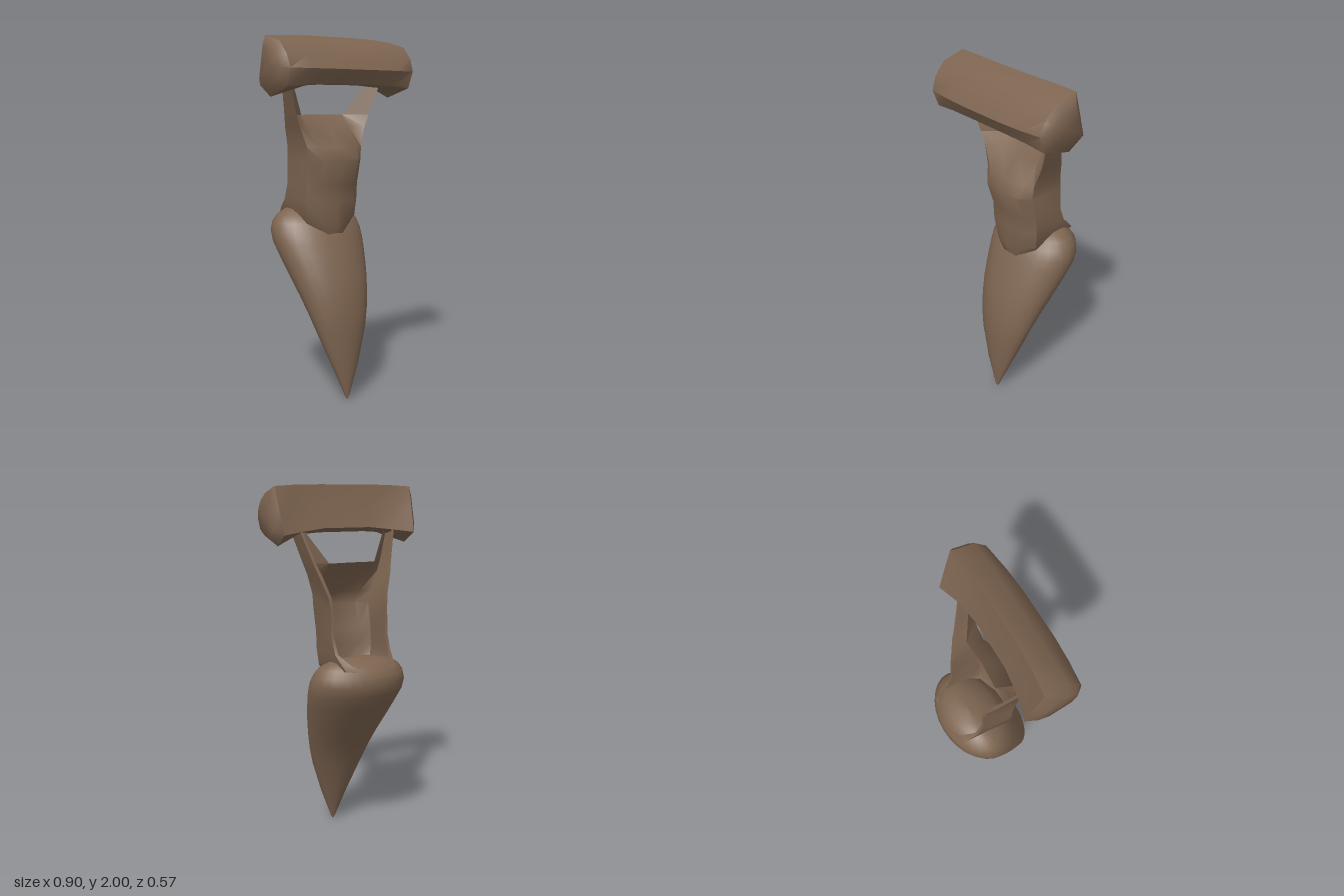
import * as THREE from 'three';
import { toCreasedNormals } from 'three/addons/utils/BufferGeometryUtils.js';

// Skin a list of rings (arrays of [x, y, z]) into a surface
function loft(rings, closed, crease) {
  const n = rings[0].length, pos = rings.flat(2), index = [];
  const same = (a, b) => [0, 1, 2].every(k => Math.abs(pos[a * 3 + k] - pos[b * 3 + k]) < 1e-6);
  const tri = (a, b, c) => { if (!same(a, b) && !same(b, c) && !same(c, a)) index.push(a, b, c); };
  for (let i = 0; i < rings.length - 1; i++) {
    for (let j = 0; j < (closed ? n : n - 1); j++) {
      const k = (j + 1) % n;
      const a = i * n + j, b = (i + 1) * n + j, c = (i + 1) * n + k, d = i * n + k;
      tri(a, b, c);
      tri(a, c, d);
    }
  }
  const geo = new THREE.BufferGeometry();
  geo.setAttribute('position', new THREE.Float32BufferAttribute(pos, 3));
  geo.setIndex(index);
  if (crease) return toCreasedNormals(geo, crease);
  geo.computeVertexNormals();
  return geo;
}

export function createModel() {
  const group = new THREE.Group();
  const brown = new THREE.MeshStandardMaterial({ color: 0x7d6450, side: THREE.DoubleSide });
  brown.name = 'brown';
  const add = (name, geo) => {
    const mesh = new THREE.Mesh(geo, brown);
    mesh.name = name;
    group.add(mesh);
  };

  // Pointed spike: y, half width, front z, back z
  const spike = [
    [0, 0, 0.205, 0.205], [0.02, 0.012, 0.215, 0.193], [0.2, 0.085, 0.232, 0.138], [0.4, 0.158, 0.236, 0.055],
    [0.5, 0.188, 0.23, 0.002], [0.6, 0.215, 0.215, -0.065], [0.7, 0.242, 0.19, -0.14], [0.8, 0.266, 0.153, -0.21],
    [0.88, 0.282, 0.12, -0.265], [0.94, 0.283, 0.092, -0.285], [0.99, 0.268, 0.062, -0.28],
    [1.03, 0.238, 0.025, -0.253], [1.06, 0.185, -0.03, -0.215], [1.075, 0.1, -0.08, -0.17], [1.08, 0, -0.125, -0.125],
  ];
  const sides = 28;
  add('spike', loft(spike.map(([y, w, front, back]) => Array.from({ length: sides }, (_, j) => {
    const t = j / sides * Math.PI * 2;
    return [w * Math.cos(t), y, (front + back) / 2 + (front - back) / 2 * Math.sin(t)];
  })), true));

  // Channel-shaped neck, open at the back: half rows from rear lip to centre
  const level = (y, pts) => pts.map(([x, z]) => [x, y, z]);
  const neck = [
    [[0.06, 1.02, -0.255], [0.15, 1.03, -0.243], [0.15, 0.99, 0.04], [0.05, 0.93, 0.093], [0, 0.93, 0.095]],
    [[0.11, 1.055, -0.235], [0.16, 1.06, -0.215], [0.165, 1.02, 0.05], [0.085, 0.99, 0.1], [0, 0.98, 0.11]],
    level(1.11, [[0.155, -0.165], [0.172, -0.16], [0.175, 0.055], [0.12, 0.1], [0, 0.11]]),
    level(1.2, [[0.16, -0.125], [0.175, -0.125], [0.175, 0.06], [0.12, 0.1], [0, 0.11]]),
    level(1.34, [[0.16, -0.12], [0.175, -0.12], [0.176, 0.09], [0.12, 0.145], [0, 0.16]]),
    level(1.41, [[0.165, -0.108], [0.183, -0.108], [0.183, 0.085], [0.13, 0.11], [0, 0.125]]),
    level(1.52, [[0.2, -0.075], [0.22, -0.075], [0.22, 0.07], [0.14, 0.03], [0, 0.04]]),
    level(1.585, [[0.225, -0.05], [0.24, -0.05], [0.245, 0.075], [0.14, -0.035], [0, -0.025]]),
  ];
  const flip = ([x, y, z]) => [-x, y, z];
  add('neck', loft(neck.map(row => [...row, ...row.slice(0, -1).reverse().map(flip)]), false, 0.85));

  // Forked arms continuing the neck up into the handle
  const arm = [
    neck.at(-1).slice(0, 4),
    level(1.77, [[0.28, 0.01], [0.295, 0.01], [0.305, 0.105], [0.255, 0.05]]),
  ];
  add('leftArm', loft(arm, false, 0.85));
  add('rightArm', loft(arm.map(row => row.map(flip)), false, 0.85));

  // Cross handle: sections in [z, y], flaring backwards and down at the ends
  const middle = [[0.285, 1.82], [0.245, 1.89], [0.18, 1.955], [0.068, 2], [0.045, 1.88], [0.017, 1.77], [0.09, 1.745], [0.24, 1.745]];
  const inner = [[0.277, 1.82], [0.24, 1.89], [0.18, 1.955], [0.06, 1.998], [0.04, 1.88], [0, 1.755], [0.085, 1.735], [0.235, 1.74]];
  const outer = [[0.262, 1.82], [0.235, 1.89], [0.175, 1.955], [0.045, 1.99], [0.005, 1.87], [-0.035, 1.74], [0.06, 1.68], [0.232, 1.73]];
  const section = (x, pts, s = 1, lean = 0) => pts.map(([z, y]) =>
    [x + lean * (y - 1.83), 1.84 + (y - 1.84) * s, 0.13 + (z - 0.13) * s]);
  const half = [
    section(0.14, middle), section(0.28, inner), section(0.405, outer, 1, 0.06),
    section(0.44, outer, 0.68, 0.04), section(0.448, outer, 0),
  ];
  const mirrored = half.map(ring => ring.map(flip)).reverse();
  add('handle', loft([...mirrored, section(0, middle), ...half], true, 0.75));

  return group;
}
